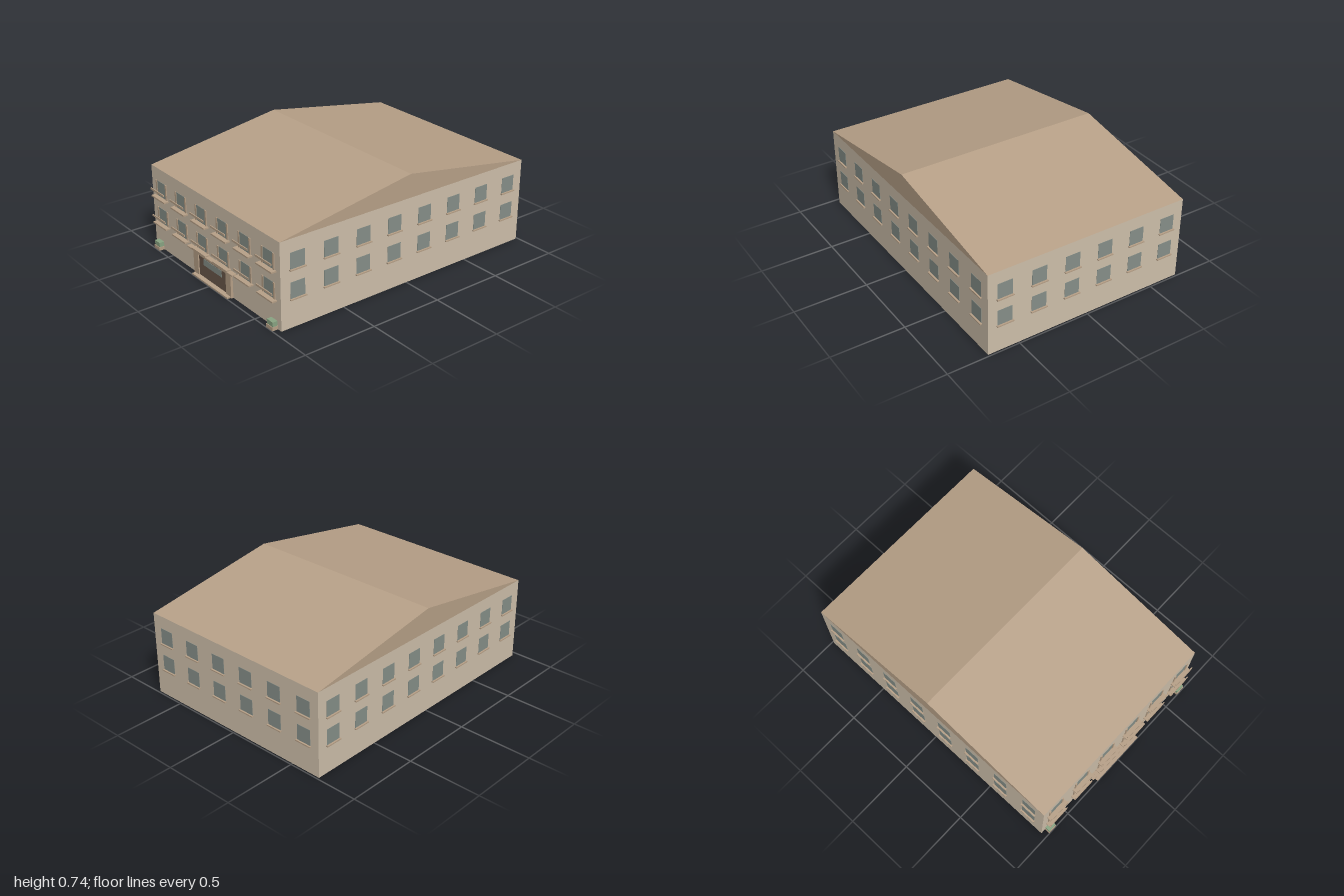
import * as THREE from 'three';

const mat = (color) => new THREE.MeshStandardMaterial({ color, flatShading: true });
const wall = mat(0xcfc0ab), tan = mat(0xb8a188), glass = mat(0x879089);
const brown = mat(0x6b584b), green = mat(0x8aa583);

// Building extents
const W = 0.715, FRONT = 0.96, BACK = -0.987, EAVE = 0.577, RIDGE = 0.735;
const MID = (FRONT + BACK) / 2;
const FLOORS = [0.19, 0.381];

// Box given by its minimum and maximum corners
function box(parent, name, material, [x0, y0, z0], [x1, y1, z1]) {
  const mesh = new THREE.Mesh(new THREE.BoxGeometry(x1 - x0, y1 - y0, z1 - z0), material);
  mesh.position.set((x0 + x1) / 2, (y0 + y1) / 2, (z0 + z1) / 2);
  mesh.name = name;
  parent.add(mesh);
  return mesh;
}

// Window in local space: sill line at y = 0, wall plane at z = 0, facing +z
function makeWindow(balcony) {
  const g = new THREE.Group();
  g.name = balcony ? 'balconyWindow' : 'window';
  box(g, 'pane', glass, [-0.052, 0, -0.005], [0.052, 0.107, 0.002]);
  if (balcony) {
    for (const s of [-1, 1]) {
      const x = s * 0.057;
      box(g, 'jamb', tan, [x - 0.007, 0, -0.005], [x + 0.007, 0.108, 0.006]);
    }
    box(g, 'balconySlab', tan, [-0.08, -0.008, -0.005], [0.08, 0.002, 0.035]);
    box(g, 'balconyRail', tan, [-0.08, 0.043, 0.032], [0.08, 0.056, 0.038]);
  } else {
    box(g, 'sill', tan, [-0.058, -0.007, -0.005], [0.058, 0.001, 0.013]);
  }
  return g;
}

export function createModel() {
  const model = new THREE.Group();
  model.name = 'building';

  box(model, 'walls', wall, [-W, 0, BACK], [W, EAVE, FRONT]);

  // Gabled roof: triangle in the z-y plane extruded along x
  const gable = new THREE.Shape([
    new THREE.Vector2(-FRONT, EAVE),
    new THREE.Vector2(-BACK, EAVE),
    new THREE.Vector2(-MID, RIDGE),
  ]);
  const roofGeo = new THREE.ExtrudeGeometry(gable, { depth: 2 * W, bevelEnabled: false });
  roofGeo.rotateY(Math.PI / 2).translate(-W, 0, 0);
  const roof = new THREE.Mesh(roofGeo, tan);
  roof.name = 'roof';
  model.add(roof);

  // Two storeys of windows on all four sides
  const addWindow = (balcony, x, y, z, turn) => {
    const w = makeWindow(balcony);
    w.position.set(x, y, z);
    w.rotation.y = turn;
    model.add(w);
  };
  for (const y of FLOORS) {
    for (let i = 0; i < 6; i++) {
      const x = (i - 2.5) * 0.239;
      addWindow(true, x, y, FRONT, 0);
      addWindow(false, x, y + 0.002, BACK, Math.PI);
    }
    for (let i = 0; i < 8; i++) {
      const z = MID + (i - 3.5) * 0.2435;
      addWindow(false, W, y + 0.002, z, Math.PI / 2);
      addWindow(false, -W, y + 0.002, z, -Math.PI / 2);
    }
  }

  // Entrance: surround, door, transom light, step and canopy
  const entrance = new THREE.Group();
  entrance.name = 'entrance';
  model.add(entrance);
  const z0 = FRONT - 0.005;
  box(entrance, 'pillarLeft', tan, [0.156, 0, z0], [0.212, 0.177, 0.976]);
  box(entrance, 'pillarRight', tan, [-0.212, 0, z0], [-0.158, 0.177, 0.976]);
  box(entrance, 'lintel', tan, [-0.158, 0.153, z0], [0.156, 0.177, 0.976]);
  box(entrance, 'door', brown, [-0.158, 0, z0], [0.156, 0.153, 0.968]);
  box(entrance, 'transom', glass, [-0.102, 0.098, z0], [0.102, 0.142, 0.971]);
  box(entrance, 'step', tan, [-0.203, 0, z0], [0.203, 0.01, 1.0]);
  box(entrance, 'canopy', tan, [-0.258, 0.176, z0], [0.258, 0.184, 0.994]);

  // Planters at both front corners
  for (const s of [-1, 1]) {
    const planter = new THREE.Group();
    planter.name = 'planter';
    planter.position.x = s * 0.647;
    box(planter, 'planterBox', tan, [-0.033, 0, z0], [0.033, 0.024, 0.998]);
    box(planter, 'hedge', green, [-0.03, 0.024, z0], [0.03, 0.055, 0.994]);
    model.add(planter);
  }
  return model;
}
